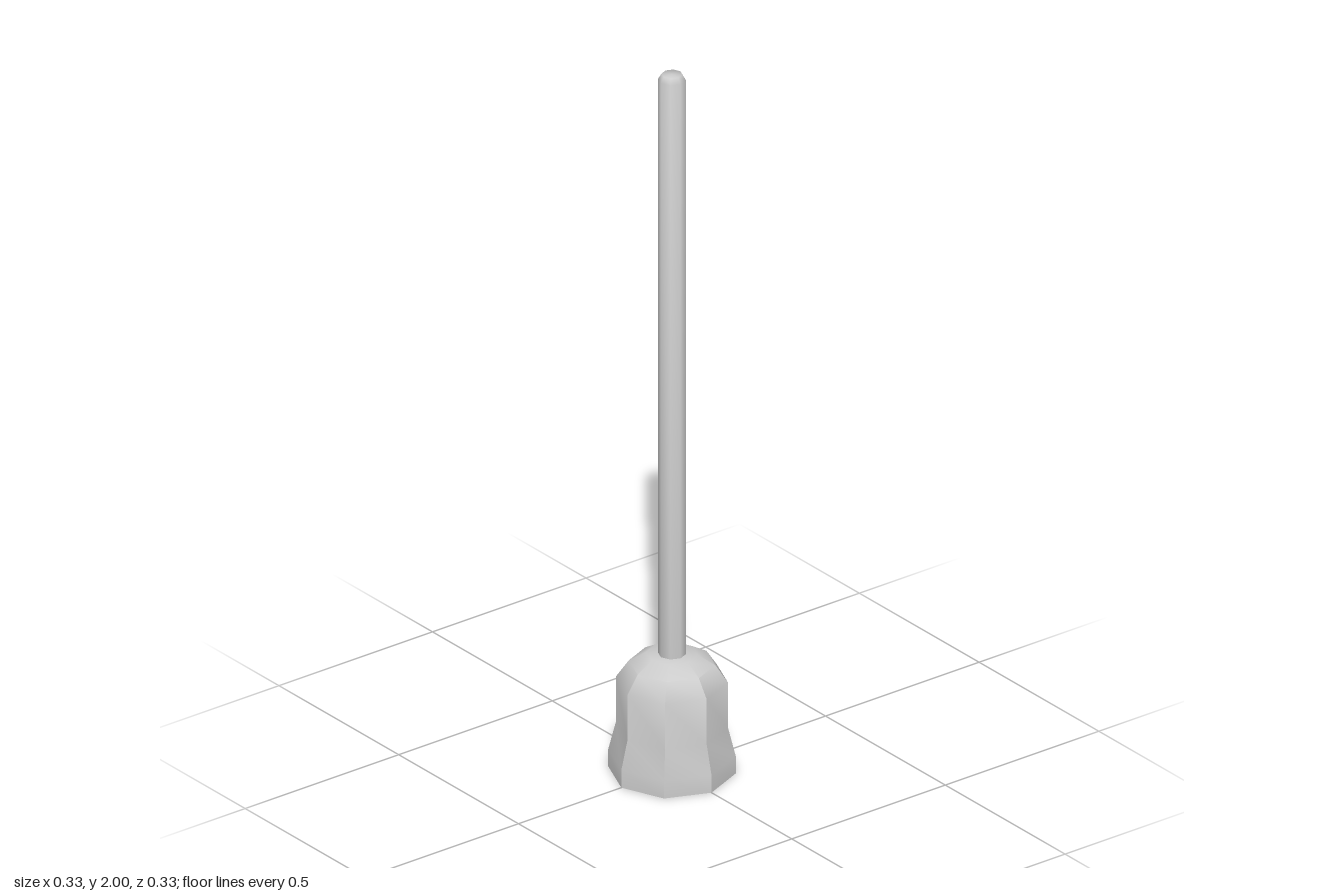
import * as THREE from 'three';
import { toCreasedNormals } from 'three/addons/utils/BufferGeometryUtils.js';

// Eight-sided turned part from [radius, height] pairs, bottom to top
function turned(name, profile, creaseAngle) {
  const points = profile.map(([r, y]) => new THREE.Vector2(r, y));
  const geometry = toCreasedNormals(new THREE.LatheGeometry(points, 8), creaseAngle);
  const mesh = new THREE.Mesh(geometry, new THREE.MeshStandardMaterial({ color: 0xcccccc }));
  mesh.name = name;
  return mesh;
}

export function createModel() {
  const group = new THREE.Group();
  group.name = 'plunger';

  // Flared cup with a closed underside and a rounded shoulder
  group.add(turned('cup', [
    [0, 0], [0.165, 0], [0.165, 0.05], [0.145, 0.13],
    [0.145, 0.26], [0.112, 0.308], [0.067, 0.335], [0, 0.335],
  ], 0.65));

  // Long stick with a softened tip
  group.add(turned('handle', [
    [0, 0.32], [0.036, 0.32], [0.036, 1.985], [0.027, 2], [0, 2],
  ], 1.2));

  return group;
}
